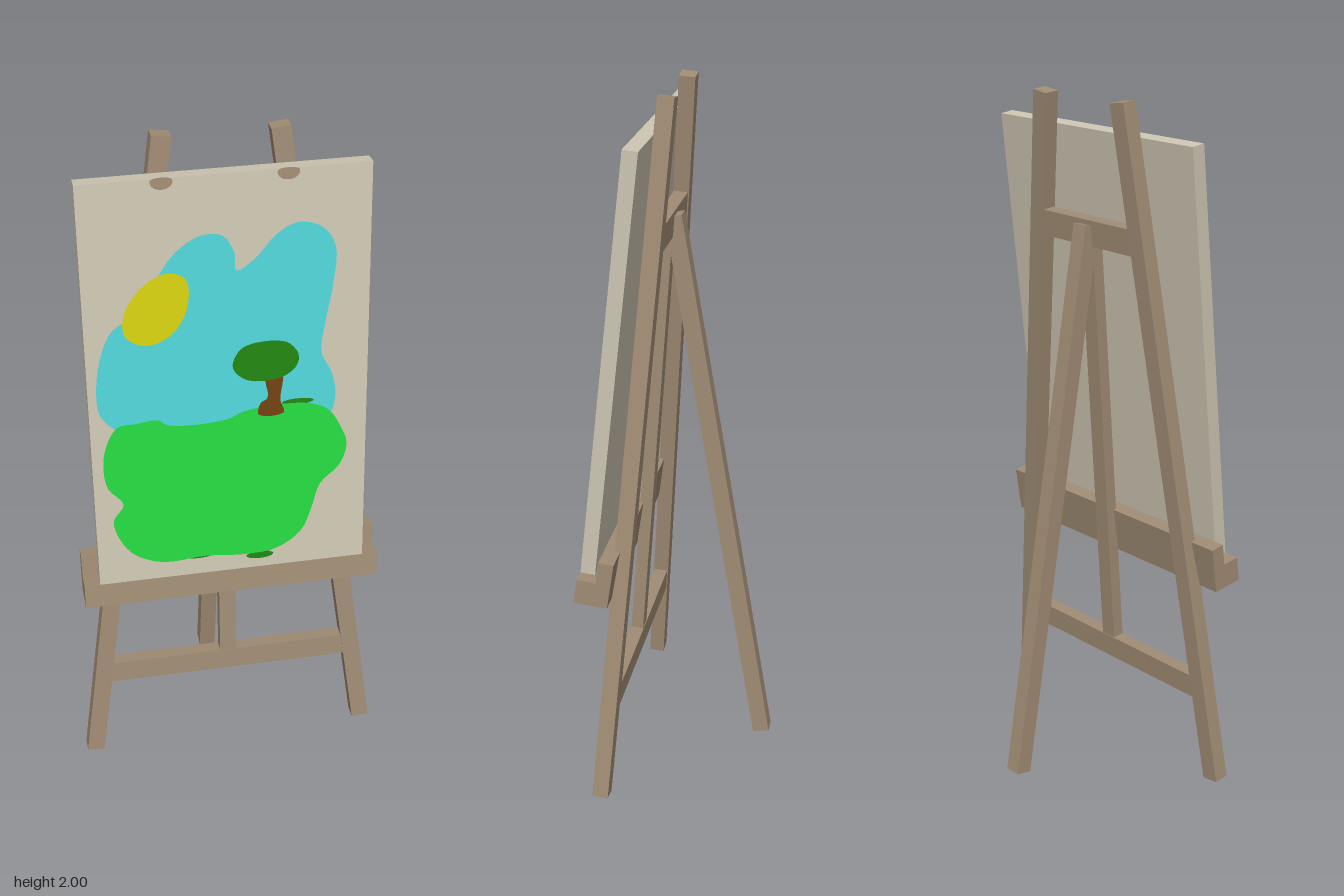
import * as THREE from 'three';

const mat = (name, color) => {
  const m = new THREE.MeshStandardMaterial({ color });
  m.name = name;
  return m;
};

export function createModel() {
  const wood = mat('wood', 0xa08c74);
  const cloth = mat('canvas cloth', 0xcdc6b3);
  const skyBlue = mat('sky blue', 0x50d4d8);
  const grassGreen = mat('grass green', 0x24d840);
  const sunYellow = mat('sun yellow', 0xd6d010);
  const leafGreen = mat('leaf green', 0x228410);
  const bark = mat('bark brown', 0x704212);

  const easel = new THREE.Group();
  easel.name = 'easel';

  const add = (parent, name, geometry, material) => {
    const mesh = new THREE.Mesh(geometry, material);
    mesh.name = name;
    parent.add(mesh);
    return mesh;
  };

  // Square-cut beam between two points, its depth kept close to the z axis
  const beam = (name, from, to, width, depth) => {
    const a = new THREE.Vector3(...from), b = new THREE.Vector3(...to);
    const y = b.clone().sub(a), length = y.length();
    y.normalize();
    const x = new THREE.Vector3().crossVectors(y, new THREE.Vector3(0, 0, 1)).normalize();
    const z = new THREE.Vector3().crossVectors(x, y);
    const mesh = add(easel, name, new THREE.BoxGeometry(width, length, depth), wood);
    mesh.quaternion.setFromRotationMatrix(new THREE.Matrix4().makeBasis(x, y, z));
    mesh.position.copy(a).add(b).multiplyScalar(0.5);
  };

  // Front legs lean inwards and backwards; legZ gives their depth at a height
  const lean = 0.0774;
  const legZ = (y) => 0.188 - lean * y;
  for (const [side, name] of [[1, 'leftLeg'], [-1, 'rightLeg']]) {
    beam(name, [side * 0.424, 0.004, legZ(0)], [side * 0.154, 1.996, legZ(2)], 0.052, 0.046);
  }
  beam('rearLeg', [0, 0.005, -0.226], [0, 1.641, 0.045], 0.05, 0.049);
  beam('centreStrut', [0, 0.31, legZ(0.31)], [0, 1.61, legZ(1.61)], 0.05, 0.036);

  // Crossbars between the front legs
  for (const [name, y, length, height] of [['lowerCrossbar', 0.3, 0.75, 0.07], ['upperCrossbar', 1.62, 0.4, 0.075]]) {
    const bar = add(easel, name, new THREE.BoxGeometry(length, height, 0.04), wood);
    bar.position.set(0, y, legZ(y));
    bar.rotation.x = -Math.atan(lean);
  }

  // Ledge: an L profile (z, y) run along x
  const profile = new THREE.Shape([
    [0.254, 0.637], [0.243, 0.71], [0.19, 0.703], [0.181, 0.768], [0.138, 0.762], [0.159, 0.627],
  ].map(([z, y]) => new THREE.Vector2(-z, y)));
  const ledgeGeometry = new THREE.ExtrudeGeometry(profile, { depth: 0.86, bevelEnabled: false });
  ledgeGeometry.translate(0, 0, -0.43).rotateY(Math.PI / 2);
  add(easel, 'ledge', ledgeGeometry, wood);

  // Canvas board, with its origin on the lower front edge
  const picture = new THREE.Group();
  picture.name = 'picture';
  picture.position.set(0, 0.709, 0.243);
  picture.rotation.x = -0.1145;
  easel.add(picture);
  const board = new THREE.BoxGeometry(0.77, 1.206, 0.042);
  board.translate(0, 0.603, -0.021);
  add(picture, 'canvasBoard', board, cloth);

  // Painted areas: smooth closed outlines in hundredths, stacked in thin layers
  const paint = (name, material, layer, points) => {
    const curve = new THREE.CatmullRomCurve3(
      points.map(([x, y]) => new THREE.Vector3(x / 100, (y / 100 - 0.709) * 1.0066, 0)), true);
    const outline = curve.getPoints(points.length * 4).slice(0, -1);
    const shape = new THREE.Shape(outline.map((p) => new THREE.Vector2(p.x, p.y)));
    add(picture, name, new THREE.ShapeGeometry(shape), material).position.z = layer * 0.0015;
  };
  const blob = (name, material, layer, x, y, rx, ry) => paint(name, material, layer,
    Array.from({ length: 8 }, (_, i) => {
      const t = i * Math.PI / 4;
      return [x + rx * Math.cos(t), y + ry * Math.sin(t)];
    }));

  paint('paintedSky', skyBlue, 1, [
    [-32, 121], [-35.5, 125.5], [-36, 134], [-34, 144], [-31, 150], [-25, 154], [-20, 161.5],
    [-14, 170], [-7, 174.5], [-1, 174], [2, 169], [2.5, 164], [7.5, 167], [13, 173], [19, 176],
    [25.5, 174], [29, 168.5], [28.5, 158], [26.5, 147], [25.5, 138], [28.5, 131.5],
    [29.5, 123.5], [27, 118], [-28, 118],
  ]);
  paint('paintedMeadow', grassGreen, 3, [
    [-26, 122], [-20, 122.5], [-17, 120.5], [-1, 120.5], [4, 122.5], [13, 123.5], [22, 123],
    [27.5, 120.5], [31, 115], [33, 109], [31, 102.5], [25.5, 97], [23, 89], [20, 82], [13, 77],
    [4, 76], [-8, 77], [-20, 76.5], [-28, 80], [-32, 85.5], [-33.5, 92], [-30.5, 97],
    [-34.5, 102.5], [-35.5, 109], [-34.5, 115.5], [-31, 121.5],
  ]);
  paint('paintedSun', sunYellow, 2, [
    [-15.5, 165], [-11, 163], [-10.5, 156.5], [-13, 150], [-17.5, 146], [-23, 145], [-27.5, 148],
    [-28, 153], [-25.5, 158.5], [-21, 163],
  ]);
  paint('paintedTrunk', bark, 4, [
    [10, 133], [14.5, 133], [14, 125], [15, 121], [8, 121], [8.5, 124.5], [10.5, 126],
  ]);
  paint('paintedTreetop', leafGreen, 5, [
    [5, 142.5], [15.5, 142.5], [19, 138.5], [18.5, 135], [14.5, 132], [5, 132], [1, 136], [2, 140],
  ]);
  // Dark grass touches along the meadow edge
  for (const [x, y, rx, ry] of [[19, 123.8, 4.5, 0.9], [8, 75.2, 4, 1.2], [-10, 77, 4, 0.6]]) {
    blob('paintedGrassTouch', leafGreen, 2, x, y, rx, ry);
  }
  // Small wood-coloured tabs at the top edge, in line with the legs
  for (const side of [-1, 1]) {
    paint('topTab', wood, 1, [
      [-2.7, 190.5], [-2.7, 189], [-1.2, 187.9], [1.2, 187.9], [2.7, 189], [2.7, 190.5],
    ].map(([x, y]) => [x + side * 16.4, y]));
  }
  return easel;
}
